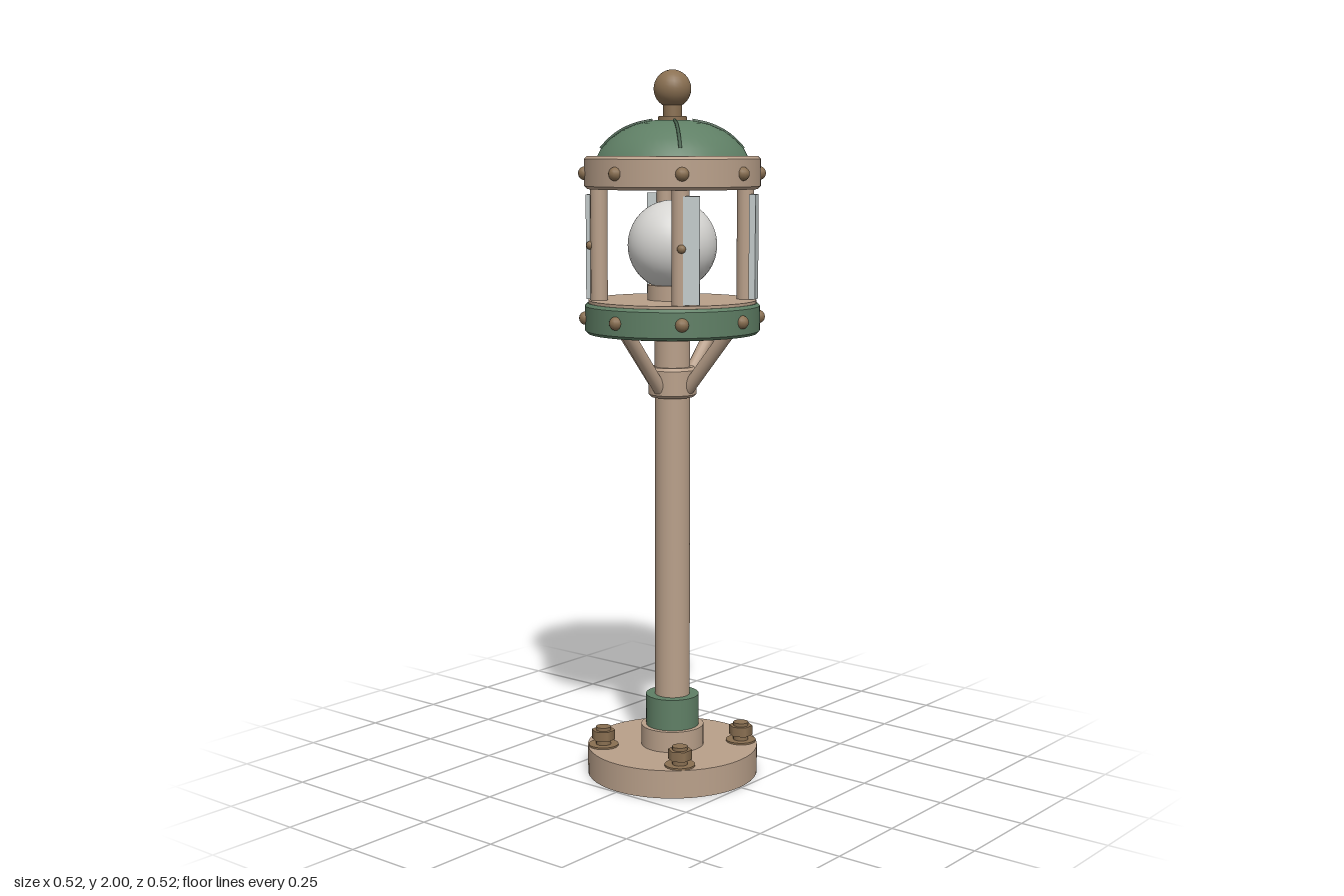
import * as THREE from 'three';

const mat = (name, color) => {
  const m = new THREE.MeshStandardMaterial({ color });
  m.name = name;
  return m;
};

export function createModel() {
  const root = new THREE.Group();
  root.name = 'lampPost';
  const tan = mat('tan paint', 0xb9a08a);
  const green = mat('green paint', 0x5f7f65);
  const darkGreen = mat('dark green seam', 0x48624e);
  const brown = mat('brown metal', 0x8a7052);
  const lampWhite = mat('lamp white', 0xd6d5d2);
  const glass = mat('pale glass', 0xc3cbcb);

  const add = (name, geo, m, x = 0, y = 0, z = 0, parent = root) => {
    const mesh = new THREE.Mesh(geo, m);
    mesh.name = name;
    mesh.position.set(x, y, z);
    parent.add(mesh);
    return mesh;
  };
  // upright cylinder between two heights
  const cyl = (name, r, y0, y1, m, seg = 40) =>
    add(name, new THREE.CylinderGeometry(r, r, y1 - y0, seg), m, 0, (y0 + y1) / 2, 0);
  // lathe with sharp corners: one strip per profile segment
  const turned = (name, pts, m) => {
    const g = new THREE.Group();
    g.name = name;
    for (let i = 0; i + 1 < pts.length; i++) {
      const pair = [pts[i], pts[i + 1]].map(p => new THREE.Vector2(...p));
      add(name + 'Face', new THREE.LatheGeometry(pair, 48), m, 0, 0, 0, g);
    }
    root.add(g);
  };
  // square-section ring with bevelled rims
  const band = (name, ri, ro, y0, y1, m, b = 0.008) => turned(name, [
    [ri, y0], [ro - b, y0], [ro, y0 + b], [ro, y1 - b], [ro - b, y1], [ri, y1], [ri, y0],
  ], m);
  // point at a radius and an angle measured from the front
  const polar = (r, deg, y) => {
    const a = THREE.MathUtils.degToRad(deg);
    return new THREE.Vector3(r * Math.sin(a), y, r * Math.cos(a));
  };
  const rod = (name, a, b, r, m) => {
    const mesh = add(name, new THREE.CylinderGeometry(r, r, a.distanceTo(b), 14), m);
    mesh.position.copy(a).add(b).multiplyScalar(0.5);
    mesh.quaternion.setFromUnitVectors(new THREE.Vector3(0, 1, 0), b.clone().sub(a).normalize());
  };

  // foot and pole
  cyl('basePlate', 0.245, 0, 0.08, tan, 48);
  cyl('baseCollar', 0.09, 0.08, 0.14, tan);
  cyl('greenSleeve', 0.076, 0.135, 0.23, green);
  cyl('pole', 0.05, 0.2, 1.3, tan, 32);
  band('poleCollar', 0.04, 0.068, 1.095, 1.18, tan);

  // lantern floor
  band('lowerBand', 0.2, 0.245, 1.275, 1.36, green);
  cyl('floorPlate', 0.235, 1.345, 1.368, tan, 48);
  cyl('floorUnderside', 0.205, 1.3, 1.34, brown, 48);
  band('lowerInnerRim', 0.185, 0.215, 1.272, 1.31, tan, 0.003);

  // lamp
  cyl('lampSocket', 0.07, 1.365, 1.41, tan);
  add('lampGlobe', new THREE.SphereGeometry(0.125, 32, 20), lampWhite, 0, 1.52, 0);

  // roof
  band('upperBand', 0.19, 0.245, 1.675, 1.765, tan);
  cyl('ceiling', 0.2, 1.735, 1.75, brown, 48);
  const dome = [[0.211, 1.76], [0.198, 1.785], [0.172, 1.812], [0.14, 1.835], [0.1, 1.852], [0.055, 1.862], [0, 1.865]];
  add('dome', new THREE.LatheGeometry(dome.map(p => new THREE.Vector2(...p)), 48), green);
  cyl('finialFoot', 0.04, 1.858, 1.873, brown, 24);
  cyl('finialNeck', 0.026, 1.87, 1.915, brown, 20);
  add('finialBall', new THREE.SphereGeometry(0.052, 24, 16), brown, 0, 1.948, 0);

  // parts repeated four times round the axis
  for (let i = 0; i < 4; i++) {
    const deg = 45 + i * 90;
    rod('post', polar(0.205, deg, 1.36), polar(0.205, deg, 1.69), 0.024, tan);
    const stud = polar(0.229, deg, 1.52);
    add('postStud', new THREE.SphereGeometry(0.012, 10, 8), brown, stud.x, stud.y, stud.z);
    rod('strut', polar(0.055, i * 90, 1.12), polar(0.195, i * 90, 1.285), 0.019, tan);

    // base bolts
    const p = polar(0.2, deg, 0);
    add('washer', new THREE.CylinderGeometry(0.043, 0.043, 0.006, 24), brown, p.x, 0.082, p.z);
    add('boltHead', new THREE.CylinderGeometry(0.034, 0.034, 0.028, 6), brown, p.x, 0.113, p.z);
    add('boltShank', new THREE.CylinderGeometry(0.022, 0.022, 0.055, 12), brown, p.x, 0.109, p.z);

    // glass strips beside the posts
    const q = polar(0.226, [52, 128, 232, 308][i], 1.515);
    const strip = add('glassStrip', new THREE.BoxGeometry(0.045, 0.29, 0.018), glass, q.x, q.y, q.z);
    strip.rotation.y = THREE.MathUtils.degToRad([35, 115, 215, 295][i]);

    // roof seams
    const seam = new THREE.CatmullRomCurve3(dome.slice(1, 6).map(([r, y]) => polar(r, deg, y)));
    add('roofSeam', new THREE.TubeGeometry(seam, 12, 0.005, 6), darkGreen);
  }

  // rivets on both bands
  for (let i = 0; i < 8; i++) {
    for (const y of [1.318, 1.718]) {
      const p = polar(0.243, i * 45, y);
      add('rivet', new THREE.SphereGeometry(0.019, 12, 8), brown, p.x, p.y, p.z);
    }
  }
  return root;
}
